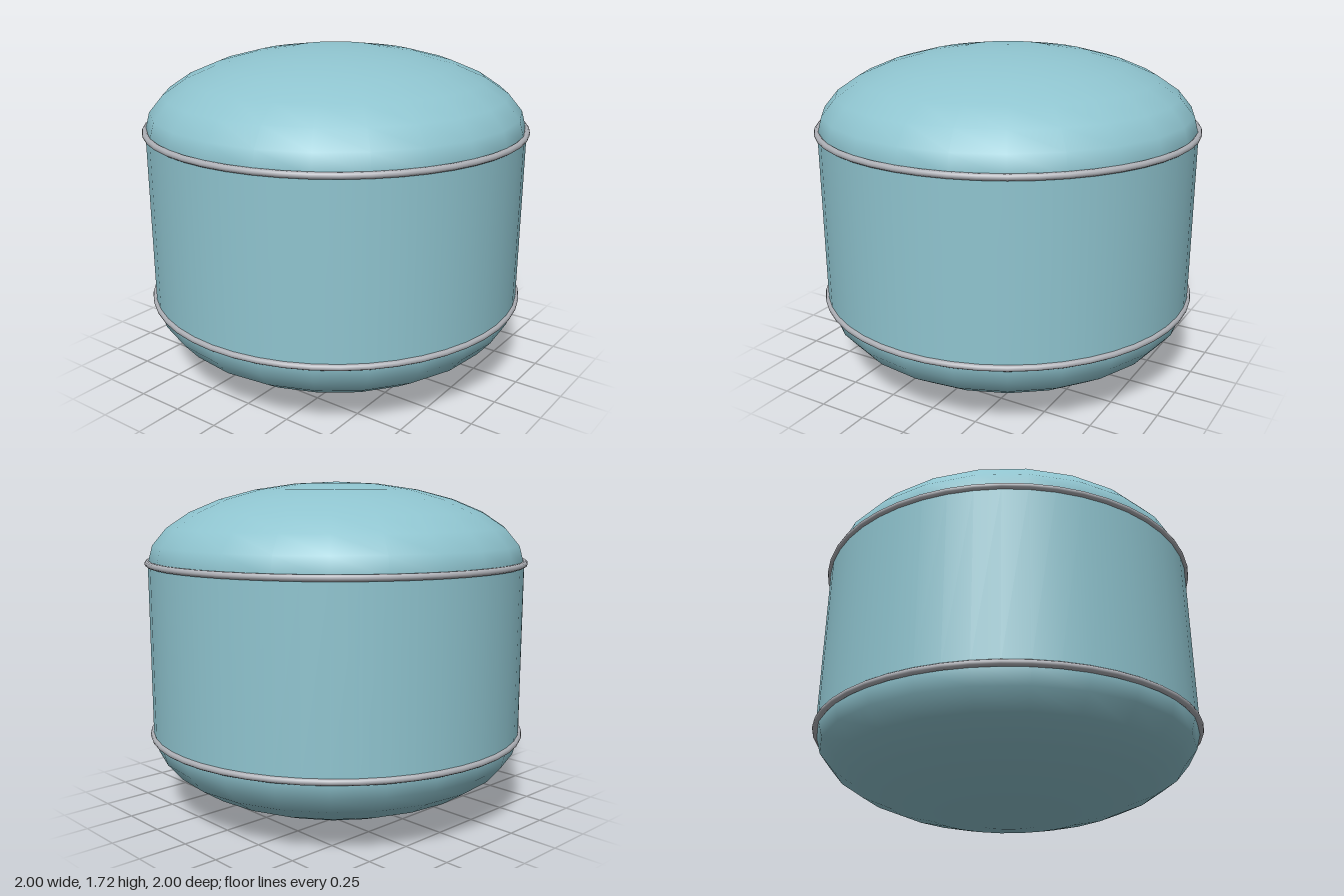
import * as THREE from 'three';

export function createModel() {
  const model = new THREE.Group();
  model.name = 'domedDrum';

  const shellBlue = new THREE.MeshStandardMaterial({ color: 0x8fc4cf });
  shellBlue.name = 'shellBlue';
  const hoopGrey = new THREE.MeshStandardMaterial({ color: 0xaeb0b6 });
  hoopGrey.name = 'hoopGrey';

  const lowY = 0.417, highY = 1.315, radius = 0.983, domeHeight = 0.412;

  const add = (name, geometry, material, y) => {
    const mesh = new THREE.Mesh(geometry, material);
    mesh.name = name;
    mesh.position.y = y;
    model.add(mesh);
    return mesh;
  };

  // Straight wall between the two hoops
  add('wall', new THREE.CylinderGeometry(radius, radius, highY - lowY, 48, 1, true),
    shellBlue, (lowY + highY) / 2);

  // Flattened half-spheres closing each end, with a hoop over each seam
  for (const [side, y, start] of [['upper', highY, 0], ['lower', lowY, Math.PI / 2]]) {
    const dome = new THREE.SphereGeometry(radius, 24, 7, 0, Math.PI * 2, start, Math.PI / 2);
    dome.scale(1, domeHeight / radius, 1);
    add(side + 'Dome', dome, shellBlue, y);

    const hoop = new THREE.TorusGeometry(0.984, 0.016, 10, 48);
    hoop.rotateX(Math.PI / 2);
    add(side + 'Hoop', hoop, hoopGrey, y);
  }

  // Rest the lowest point on the ground
  model.position.y = domeHeight - lowY;
  return model;
}
